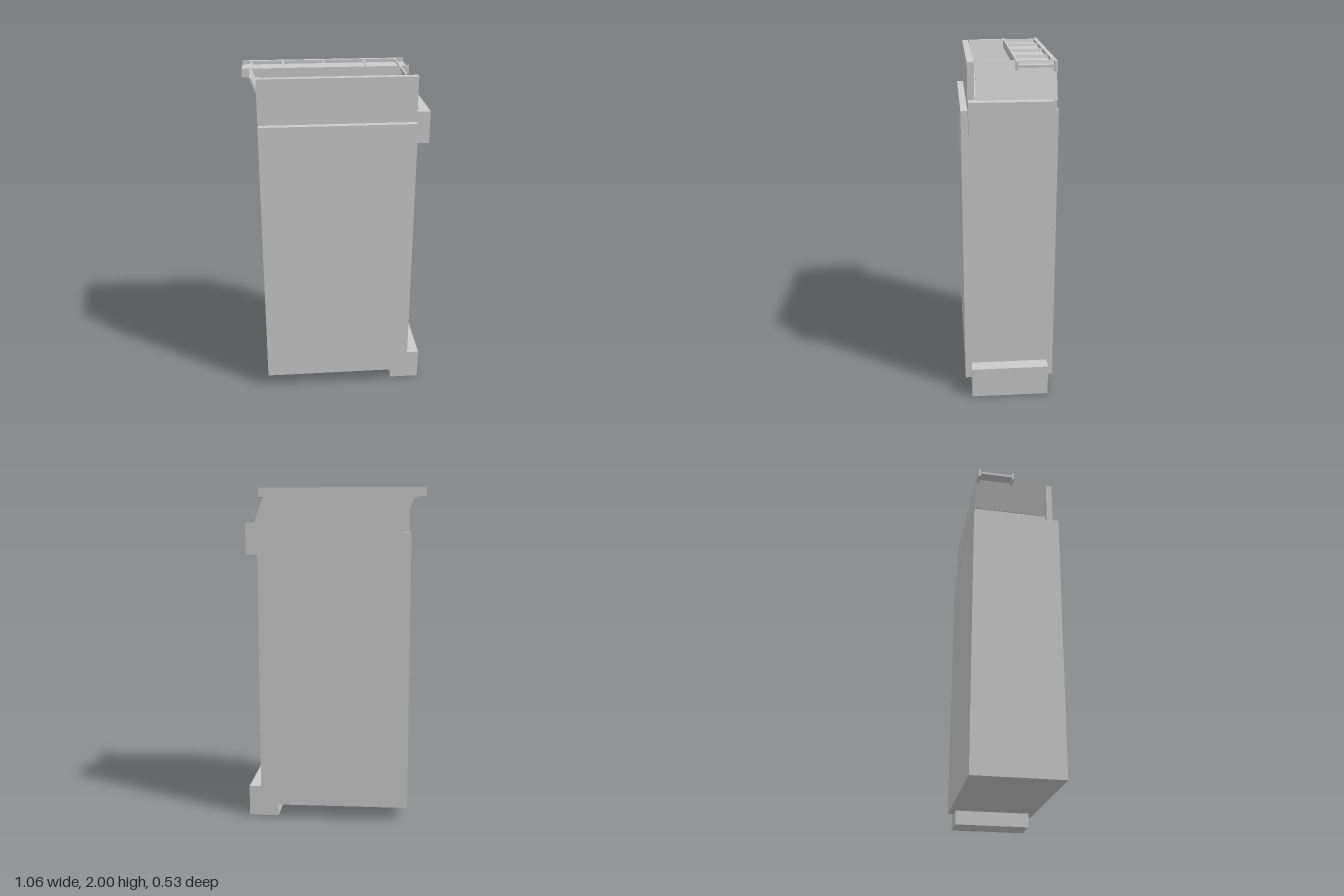
import * as THREE from 'three';

const material = new THREE.MeshStandardMaterial({ color: 0xcccccc, flatShading: true });

export function createModel() {
  const model = new THREE.Group();

  const add = (name, geometry) => {
    const mesh = new THREE.Mesh(geometry, material);
    mesh.name = name;
    model.add(mesh);
    return mesh;
  };

  // Box given by its limits on each axis
  const box = (name, [x0, x1], [y0, y1], [z0, z1]) => {
    const g = new THREE.BoxGeometry(x1 - x0, y1 - y0, z1 - z0);
    g.translate((x0 + x1) / 2, (y0 + y1) / 2, (z0 + z1) / 2);
    return add(name, g);
  };

  // Outline in x and y, extruded from z0 to z1
  const prism = (name, points, [z0, z1]) => {
    const shape = new THREE.Shape(points.map(([x, y]) => new THREE.Vector2(x, y)));
    const g = new THREE.ExtrudeGeometry(shape, { depth: z1 - z0, bevelEnabled: false });
    g.translate(0, 0, z0);
    return add(name, g);
  };

  // Leaning slab: its top is shifted towards -x by a constant slope
  const SLOPE = 0.37;
  const leaning = (name, [x0, x1], [y0, y1], z) => {
    const shift = (y1 - y0) * SLOPE;
    return prism(name, [[x0, y0], [x1, y0], [x1 - shift, y1], [x0 - shift, y1]], z);
  };

  // Main cabinet body
  box('body', [-0.447, 0.45], [0.085, 1.74], [-0.267, 0.265]);

  // Base floor and front panel of the upper section
  box('upperFloor', [-0.4, 0.449], [1.74, 1.795], [-0.256, 0.19]);
  box('upperFrontPanel', [-0.447, 0.45], [1.74, 2.0], [0.19, 0.227]);

  // Leaning back and side walls of the upper section
  leaning('upperBackWall', [-0.406, 0.468], [1.795, 2.0], [-0.257, -0.233]);
  leaning('leftWall', [0.458, 0.468], [1.795, 1.999], [-0.256, 0.182]);
  leaning('rightWall', [-0.406, -0.396], [1.795, 1.999], [-0.256, 0.182]);

  // Low leaning blocks on the floor
  for (const [x0, x1] of [[-0.1, 0.04], [0.058, 0.325]]) {
    leaning('floorBlock', [x0, x1], [1.79, 1.82], [-0.232, 0.13]);
  }

  // Open-ended tray with a rim along the front and back
  const trayX = [-0.53, 0.44];
  box('trayFloor', trayX, [1.965, 1.98], [-0.25, -0.04]);
  box('trayFrontRim', trayX, [1.95, 2.0], [-0.046, -0.035]);
  box('trayBackRim', trayX, [1.945, 2.0], [-0.257, -0.241]);

  // Tray dividers
  for (const x of [-0.283, -0.042, 0.2]) {
    leaning('trayDivider', [x - 0.003, x + 0.007], [1.975, 1.996], [-0.234, -0.044]);
  }

  // L-shaped corner brackets on one side
  const bracketZ = [-0.23, 0.227];
  prism('lowerBracket', [
    [0.35, 0], [0.53, 0], [0.53, 0.187], [0.45, 0.187], [0.45, 0.085], [0.35, 0.085],
  ], bracketZ);
  prism('upperBracket', [
    [0.35, 1.74], [0.45, 1.74], [0.45, 1.615], [0.525, 1.615], [0.525, 1.8], [0.35, 1.8],
  ], [-0.23, 0.226]);

  return model;
}
